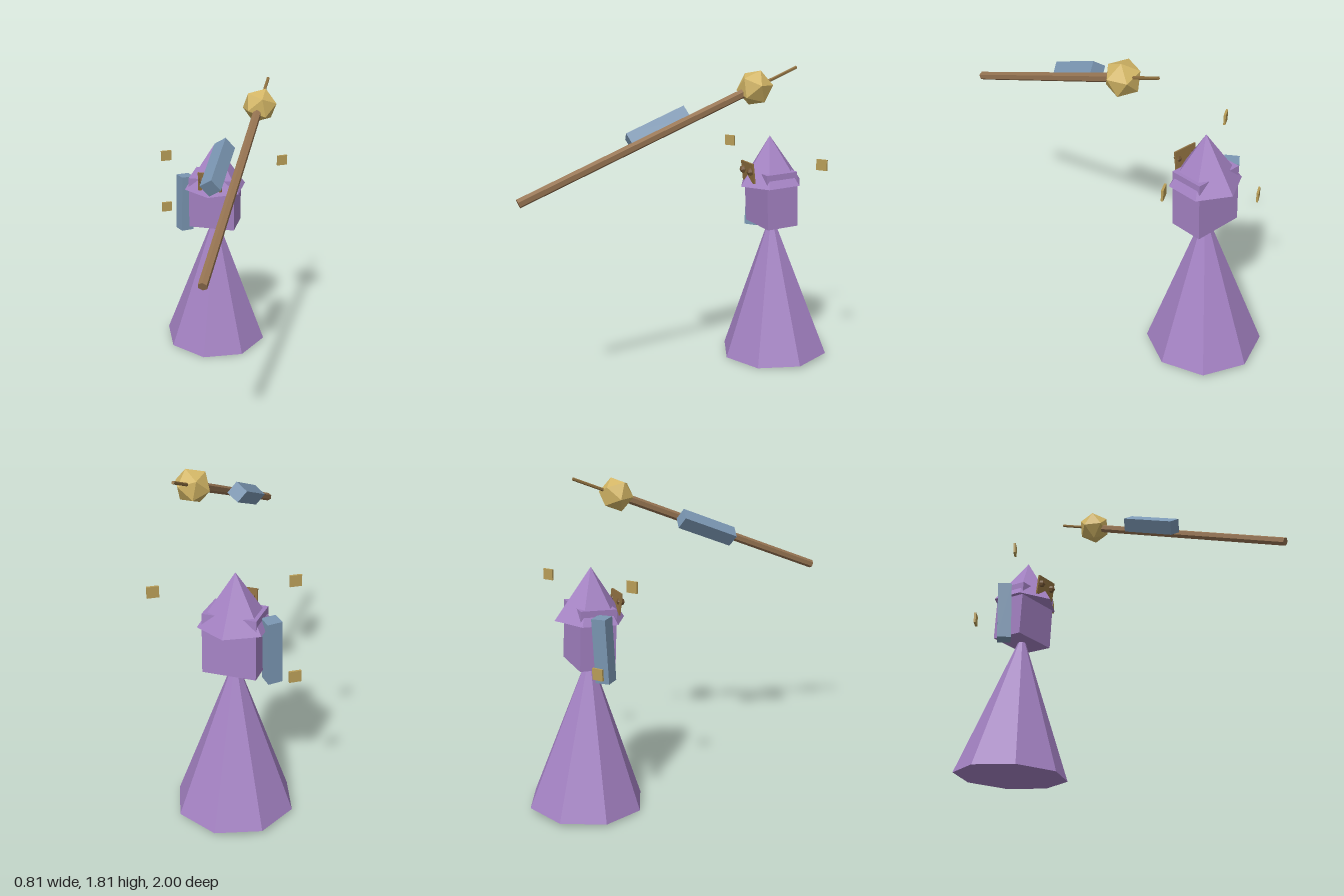
import * as THREE from 'three';

const mat = (name, color) => {
  const m = new THREE.MeshStandardMaterial({ color, flatShading: true });
  m.name = name;
  return m;
};

export function createModel() {
  const purple = mat('purple cloth', 0xa381c2);
  const blue = mat('blue sleeve', 0x7a96b2);
  const wood = mat('staff wood', 0x967452);
  const gold = mat('gold', 0xd2b565);
  const oldGold = mat('old gold', 0xb89d57);
  const bronze = mat('bronze', 0x8f7040);
  const darkBronze = mat('dark bronze', 0x745634);

  const model = new THREE.Group();
  const add = (parent, name, geo, material, pos, rot = [0, 0, 0]) => {
    const mesh = new THREE.Mesh(geo, material);
    mesh.name = name;
    mesh.position.set(...pos);
    mesh.rotation.set(...rot);
    parent.add(mesh);
    return mesh;
  };

  // Body: robe, head and pointed hood, leaning slightly forward
  const body = new THREE.Group();
  body.name = 'body';
  body.position.set(-0.03, 0.017, -0.67);
  body.rotation.x = 0.05;
  model.add(body);
  add(body, 'robe', new THREE.ConeGeometry(0.33, 0.885, 8), purple, [0, 0.4425, 0]);
  add(body, 'head', new THREE.BoxGeometry(0.29, 0.33, 0.2), purple, [0, 0.987, 0]);
  add(body, 'hood', new THREE.ConeGeometry(0.198, 0.285, 6), purple, [0, 1.215, 0]);

  // Mask plate with a notch for the nose, and two small eyes
  const mask = new THREE.Group();
  mask.name = 'mask';
  mask.position.set(-0.027, 1.165, -0.463);
  mask.rotation.x = 0.13;
  model.add(mask);
  const outline = new THREE.Shape([
    [-0.074, 0.06], [0.074, 0.06], [0.074, -0.06], [0.028, -0.06],
    [0, -0.028], [-0.028, -0.06], [-0.074, -0.06],
  ].map(([x, y]) => new THREE.Vector2(x, y)));
  add(mask, 'maskPlate', new THREE.ExtrudeGeometry(outline, { depth: 0.01, bevelEnabled: false }),
    bronze, [0, 0, -0.005]);
  for (const side of [-1, 1]) {
    add(mask, side > 0 ? 'leftEye' : 'rightEye', new THREE.SphereGeometry(0.023, 6, 4),
      darkBronze, [side * 0.047, 0.011, 0.008]);
  }

  // Sleeves: the right one hangs, the left one reaches out along the staff
  const sleeve = new THREE.BoxGeometry(0.081, 0.355, 0.081);
  const tilt = -1.193;
  add(model, 'rightSleeve', sleeve, blue, [-0.225, 0.965, -0.61], [-0.04, 0.73, 0]);
  add(model, 'leftSleeve', sleeve, blue, [0.172, 1.492, 0.187], [tilt, 0.95, 0]);

  // Staff: shaft, faceted orb and thin spike along one tilted axis
  const staff = new THREE.Group();
  staff.name = 'staff';
  staff.position.set(0.293, 1.178, 0.99);
  staff.rotation.x = tilt;
  model.add(staff);
  add(staff, 'shaft', new THREE.CylinderGeometry(0.025, 0.025, 1.4, 6), wood, [0, 0.7, 0]);
  add(staff, 'orb', new THREE.IcosahedronGeometry(0.1, 0), gold, [0, 1.417, 0], [0, 0.35, 0]);
  add(staff, 'spike', new THREE.CylinderGeometry(0.009, 0.009, 0.28, 6), bronze, [0, 1.55, 0]);

  // Floating square charms
  const charm = new THREE.BoxGeometry(0.064, 0.062, 0.012);
  for (const pos of [[-0.308, 1.31, -0.476], [-0.373, 0.887, -0.698], [0.372, 1.26, -0.72]]) {
    add(model, 'charm', charm, oldGold, pos, [0, 0.58, 0]);
  }
  return model;
}
